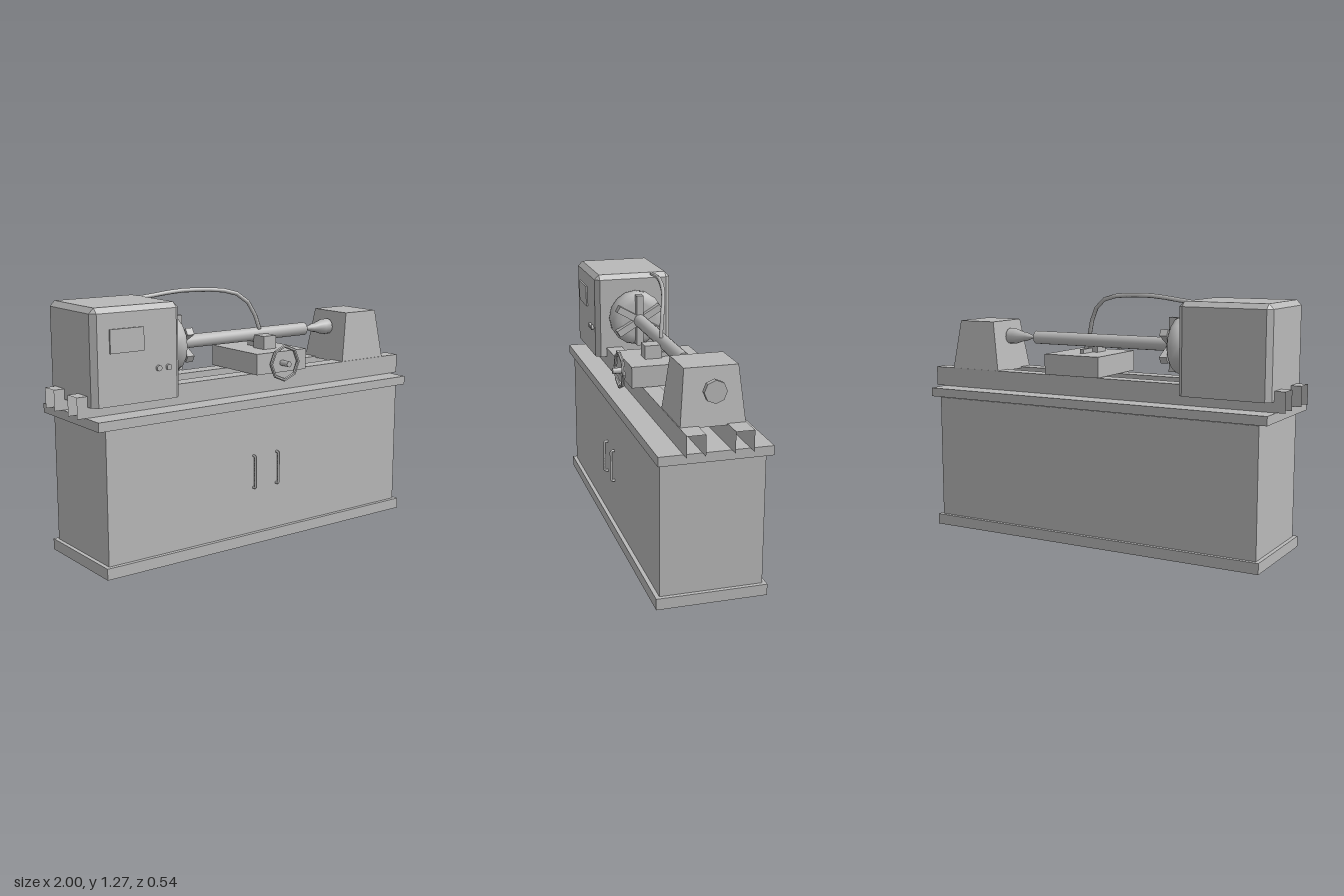
import * as THREE from 'three';
import { toCreasedNormals } from 'three/addons/utils/BufferGeometryUtils.js';
import { ConvexGeometry } from 'three/addons/geometries/ConvexGeometry.js';

const steel = new THREE.MeshStandardMaterial({ color: 0xb8b8b8, side: THREE.DoubleSide });
steel.name = 'machineGrey';

export function createModel() {
  const model = new THREE.Group();
  model.name = 'metalLathe';
  const AXIS_Y = 1.018, AXIS_Z = -0.004;

  const add = (name, geometry) => {
    const mesh = new THREE.Mesh(geometry, steel);
    mesh.name = name;
    model.add(mesh);
    return mesh;
  };

  // Box from its limits; faces listed in "open" are left out (0 +x, 1 -x, 2 +y, 3 -y, 4 +z, 5 -z)
  const box = (name, [x0, x1], [y0, y1], [z0, z1], open = []) => {
    const g = new THREE.BoxGeometry(x1 - x0, y1 - y0, z1 - z0);
    g.setIndex([...g.index.array].filter((_, i) => !open.includes(Math.floor(i / 6))));
    g.clearGroups();
    g.translate((x0 + x1) / 2, (y0 + y1) / 2, (z0 + z1) / 2);
    return add(name, g);
  };

  // Turned part along x from [x, radius] pairs
  const turned = (name, profile, sides, crease, y = AXIS_Y) => {
    const g = new THREE.LatheGeometry(profile.map(([x, r]) => new THREE.Vector2(r, x)), sides);
    g.rotateZ(-Math.PI / 2);
    return add(name, toCreasedNormals(g, crease)).position.set(0, y, AXIS_Z);
  };

  // Round peg along z
  const peg = (name, x, y, z0, z1, r, sides) => {
    const g = new THREE.CylinderGeometry(r, r, z1 - z0, sides);
    g.rotateX(Math.PI / 2);
    add(name, g).position.set(x, y, (z0 + z1) / 2);
  };

  // Cabinet, open plinth and table
  box('plinth', [-0.93, 0.925], [0, 0.055], [-0.268, 0.264], [3]);
  box('cabinet', [-0.91, 0.905], [0.055, 0.695], [-0.249, 0.244]);
  box('tableTop', [-0.956, 0.95], [0.7, 0.745], [-0.268, 0.264]);

  // Door handles
  for (const x of [-0.075, 0.071]) {
    const path = new THREE.CurvePath();
    const p = [[0.29, 0.24], [0.29, 0.262], [0.453, 0.262], [0.453, 0.24]]
      .map(([y, z]) => new THREE.Vector3(x, y, z));
    for (let i = 0; i < 3; i++) path.add(new THREE.LineCurve3(p[i], p[i + 1]));
    add('doorHandle', new THREE.TubeGeometry(path, 24, 0.007, 6));
  }

  // Bed rails: hollow channels, open at the ends and below
  for (const z of [-0.113, 0.107]) {
    box('bedRail', [-1, 1], [0.745, 0.845], [z - 0.043, z + 0.043], [0, 1, 3]);
  }

  // Headstock with chamfered upright and top edges
  const [hx0, hx1, hz0, hz1, c] = [-0.945, -0.475, -0.211, 0.207, 0.025];
  const hull = [];
  for (const [x, sx] of [[hx0, 1], [hx1, -1]]) {
    for (const [z, sz] of [[hz0, 1], [hz1, -1]]) {
      for (const y of [0.795, 1.22]) {
        hull.push(new THREE.Vector3(x + sx * c, y, z), new THREE.Vector3(x, y, z + sz * c));
      }
      hull.push(new THREE.Vector3(x + sx * c, 1.245, z + sz * c));
    }
  }
  add('headstock', new ConvexGeometry(hull));
  box('controlPanel', [-0.858, -0.68], [1.037, 1.147], [0.207, 0.215]);
  for (const x of [-0.602, -0.548]) peg('controlKnob', x, 0.947, 0.2, 0.22, 0.014, 10);

  // Chuck and its six jaws
  turned('chuck', [[-0.48, 0.105], [-0.468, 0.127], [-0.445, 0.145], [-0.41, 0.146],
    [-0.388, 0.137], [-0.374, 0.115], [-0.37, 0.09], [-0.37, 0]], 16, 0.8);
  for (let i = 0; i < 6; i++) {
    const g = new THREE.BoxGeometry(0.04, 0.105, 0.036);
    g.translate(-0.36, 0.0825, 0);
    g.rotateX(i * Math.PI / 3);
    add('chuckJaw', g).position.set(0, AXIS_Y, AXIS_Z);
  }

  // Workpiece and tail centre
  turned('workpiece', [[-0.38, 0], [-0.38, 0.034], [0.45, 0.034], [0.45, 0]], 16, 0.7);
  turned('tailCentre', [[0.45, 0], [0.512, 0.023], [0.528, 0.024], [0.58, 0.041],
    [0.62, 0.041]], 12, 0.7);

  // Tapered tailstock and its end knob
  const block = [];
  for (const [y, x0, x1, d] of [[0.838, 0.596, 0.888, 0.151], [1.1, 0.64, 0.85, 0.125]]) {
    for (const x of [x0, x1]) {
      for (const s of [-1, 1]) block.push(new THREE.Vector3(x, y, AXIS_Z + s * d));
    }
  }
  add('tailstock', new ConvexGeometry(block));
  turned('tailstockKnob', [[0.89, 0], [0.89, 0.053], [0.917, 0.053], [0.917, 0]], 8, 0.4, 1.003);

  // Carriage, tool post and tool bit
  box('carriage', [-0.024, 0.29], [0.848, 0.953], [-0.175, 0.206]);
  box('toolPost', [0.094, 0.172], [0.95, 1.02], [0.023, 0.108]);
  box('toolBit', [0.124, 0.144], [0.95, 0.975], [-0.068, 0.03]);

  // Handwheel
  const rim = new THREE.TorusGeometry(0.086, 0.009, 6, 8);
  add('handwheelRim', toCreasedNormals(rim, 0.4)).position.set(0.134, 0.897, 0.228);
  peg('handwheelHub', 0.134, 0.895, 0.2, 0.264, 0.015, 8);

  // Coolant hose
  const hose = new THREE.CatmullRomCurve3([
    [-0.5, 1.236, -0.112], [-0.24, 1.26, -0.08], [0.02, 1.232, -0.028],
    [0.095, 1.165, -0.002], [0.136, 1.045, 0.018],
  ].map((p) => new THREE.Vector3(...p)));
  add('coolantHose', new THREE.TubeGeometry(hose, 10, 0.011, 6));

  return model;
}
